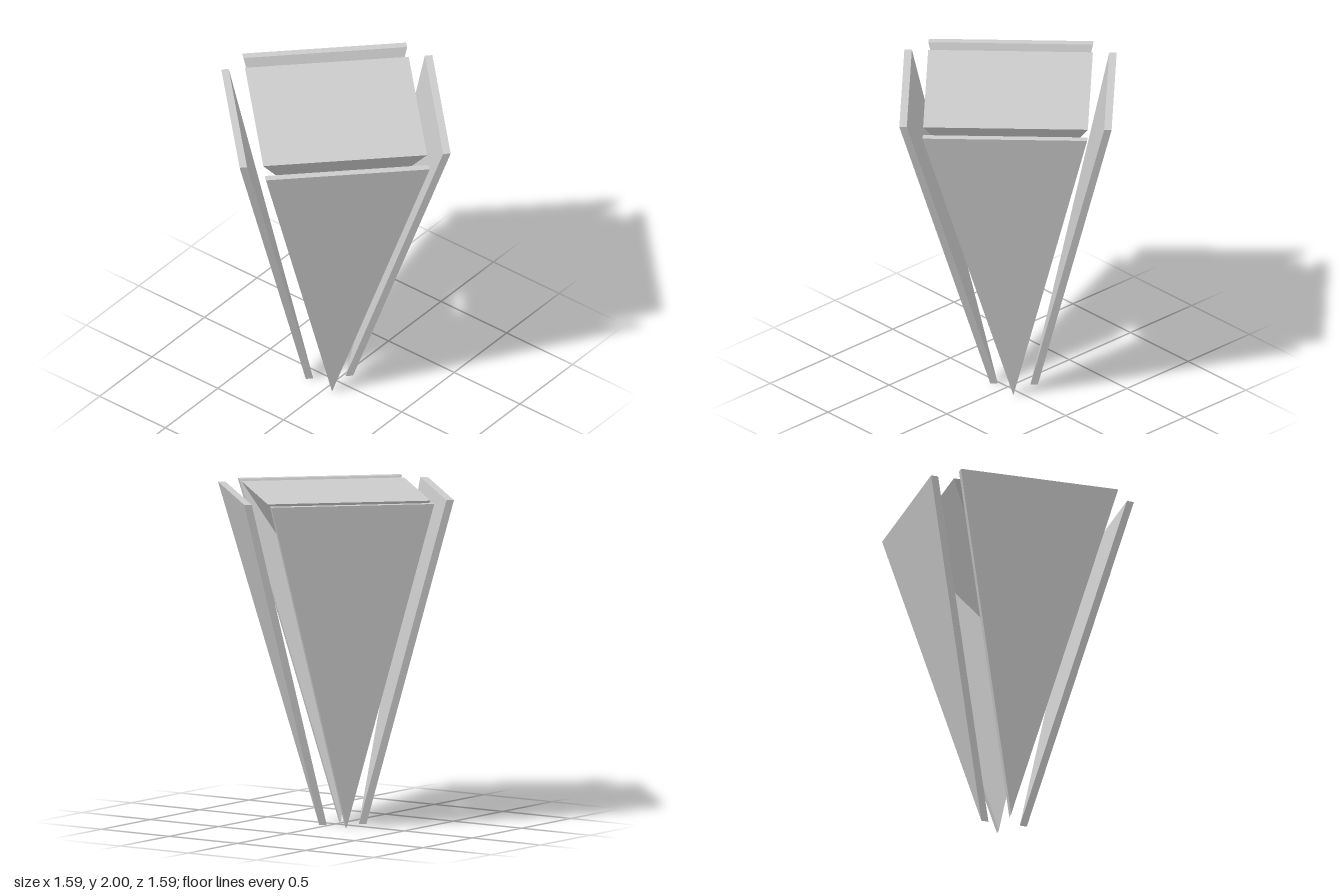
import * as THREE from 'three';
import { ConvexGeometry } from 'three/addons/geometries/ConvexGeometry.js';

export function createModel() {
  const model = new THREE.Group();
  const material = new THREE.MeshStandardMaterial({ color: 0xcccccc, flatShading: true });

  // Triangular slab leaning outwards; sx and sz choose its quadrant.
  // All four lower tips lean slightly towards -x.
  function makeSlab(sx, sz) {
    const points = [];
    for (const [dx, dz] of [[0, 0], [0.033, 0.03]]) {
      points.push(
        new THREE.Vector3(sx * (0.1 - dx), 2, sz * (0.793 - dz)),
        new THREE.Vector3(sx * (0.793 - dx), 2, sz * (0.1 - dz)),
        new THREE.Vector3(sx * (0.1 - dx) - 0.05, 0, sz * (0.1 - dz))
      );
    }
    return new THREE.Mesh(new ConvexGeometry(points), material);
  }

  for (const sx of [1, -1]) {
    for (const sz of [1, -1]) {
      const slab = makeSlab(sx, sz);
      slab.name = `${sz > 0 ? 'front' : 'back'}${sx > 0 ? 'Left' : 'Right'}Slab`;
      model.add(slab);
    }
  }

  // Inverted four-sided pyramid between the slabs
  const core = new THREE.Mesh(new THREE.ConeGeometry(0.693, 0.8, 4), material);
  core.rotation.x = Math.PI;
  core.position.y = 1.6;
  core.name = 'invertedPyramidCore';
  model.add(core);

  return model;
}
